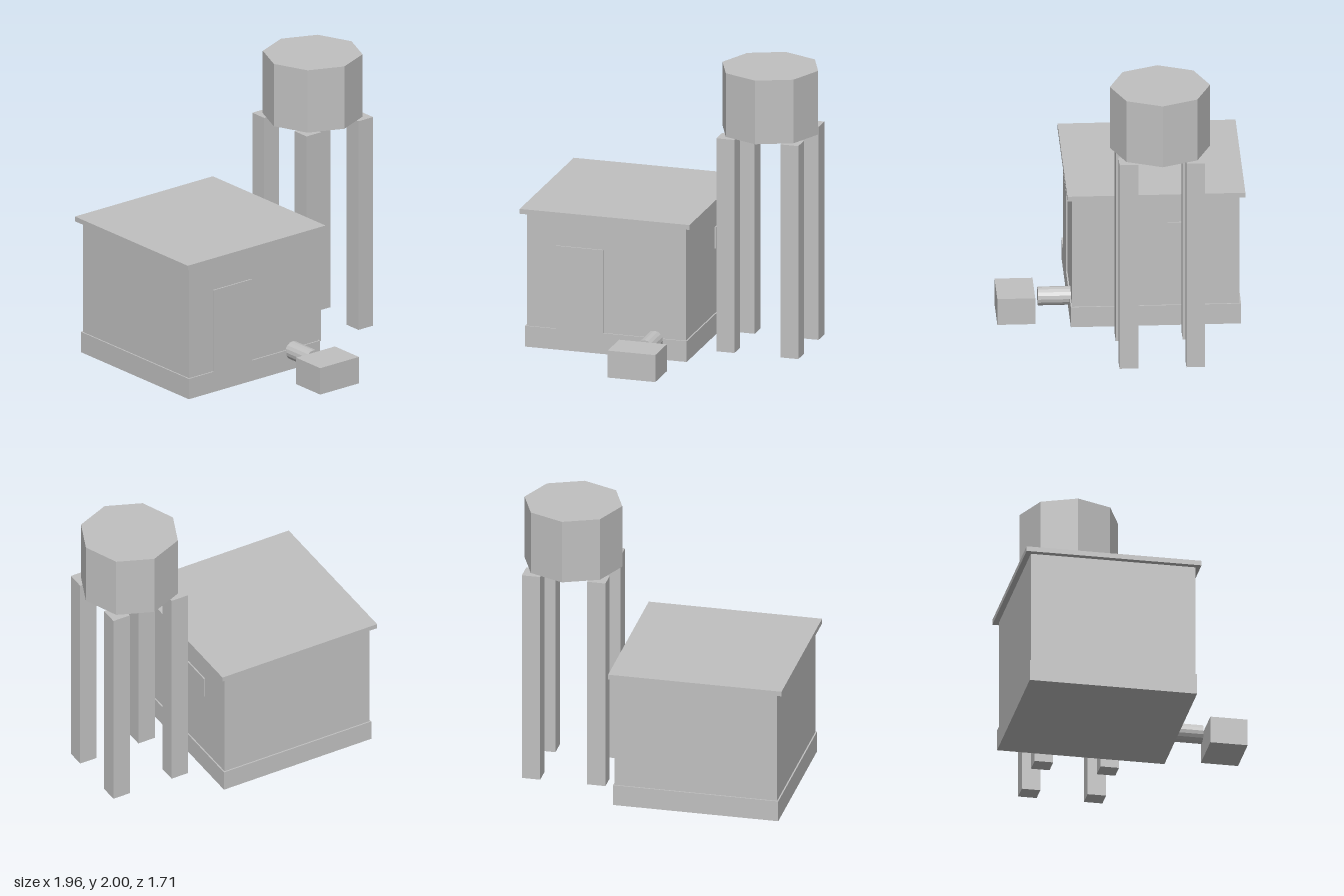
import * as THREE from 'three';

export function createModel() {
  const model = new THREE.Group();
  const grey = new THREE.MeshStandardMaterial({ color: 0xc0c0c0, flatShading: true });
  grey.name = 'plain grey';

  const add = (name, geometry, parent = model) => {
    const mesh = new THREE.Mesh(geometry, grey);
    mesh.name = name;
    parent.add(mesh);
    return mesh;
  };
  // Box given by its limits along each axis
  const box = (name, [x0, x1], [y0, y1], [z0, z1], parent) =>
    add(name, new THREE.BoxGeometry(x1 - x0, y1 - y0, z1 - z0), parent)
      .position.set((x0 + x1) / 2, (y0 + y1) / 2, (z0 + z1) / 2);

  // House with plinth, overhanging roof slab, door and side window
  const house = new THREE.Group();
  house.name = 'house';
  model.add(house);
  box('plinth', [-0.953, 0.217], [0, 0.15], [-0.826, 0.35], house);
  box('walls', [-0.943, 0.207], [0.15, 0.965], [-0.816, 0.34], house);
  box('roof', [-0.983, 0.245], [0.965, 1], [-0.854, 0.375], house);
  box('door', [-0.73, -0.386], [0.15, 0.75], [0.34, 0.35], house);
  box('window', [0.207, 0.217], [0.62, 0.775], [-0.545, -0.317], house);

  // Octagonal water tank on four square legs
  const tower = new THREE.Group();
  tower.name = 'waterTower';
  tower.position.set(0.634, 0, -0.242);
  model.add(tower);
  add('tank', new THREE.CylinderGeometry(0.346, 0.346, 0.46, 8), tower).position.y = 1.77;
  for (const x of [-0.231, 0.231]) {
    for (const z of [-0.231, 0.231]) {
      add('towerLeg', new THREE.BoxGeometry(0.13, 1.54, 0.13), tower).position.set(x, 0.77, z);
    }
  }

  // Outlet pipe and trough in front of the house
  const pipe = add('pipe', new THREE.CylinderGeometry(0.065, 0.065, 0.235, 16));
  pipe.rotation.x = Math.PI / 2;
  pipe.position.set(-0.021, 0.135, 0.449);
  box('trough', [-0.195, 0.15], [0, 0.195], [0.592, 0.854]);

  return model;
}
